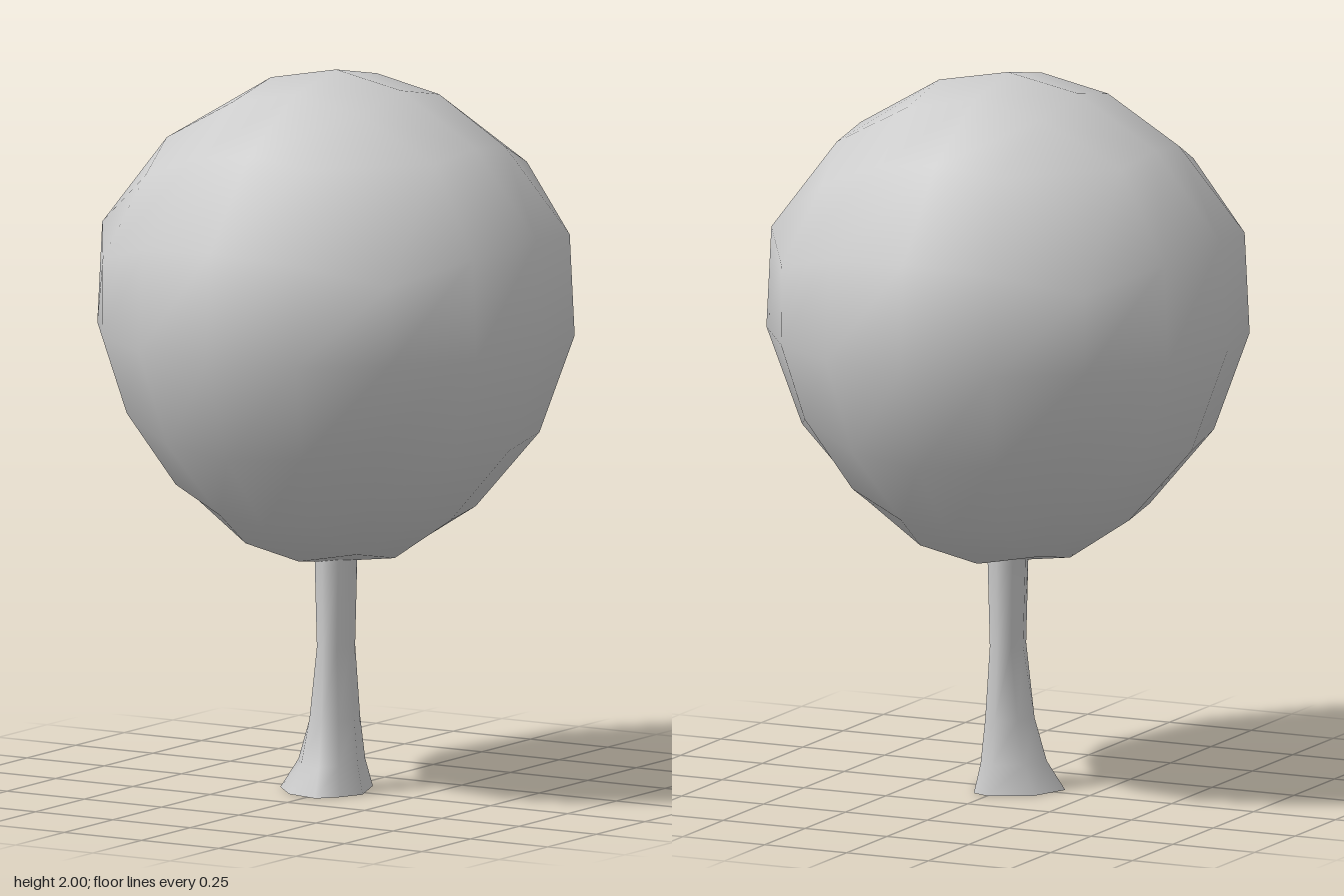
import * as THREE from 'three';
import { mergeVertices } from 'three/addons/utils/BufferGeometryUtils.js';

// Linear lookup in rows sorted by their first value
function lookup(rows, t, col) {
  for (let i = 1; i < rows.length; i++) {
    if (t <= rows[i][0] || i === rows.length - 1) {
      const a = rows[i - 1], b = rows[i];
      return a[col] + (b[col] - a[col]) * (t - a[0]) / (b[0] - a[0]);
    }
  }
}

// Crown: cube sphere, narrowed towards the bottom. Rows: unit height, y, radius scale
const CROWN = [
  [-1, 0.635, 0.49], [-0.924, 0.66, 0.496], [-0.707, 0.78, 0.523],
  [-0.383, 0.99, 0.606], [0, 1.28, 0.67], [0.383, 1.58, 0.703],
  [0.707, 1.82, 0.636], [0.924, 1.96, 0.55], [1, 2, 0.54],
];

function crownGeometry() {
  let geo = new THREE.BoxGeometry(2, 2, 2, 4, 4, 4);
  geo.deleteAttribute('uv');
  geo.deleteAttribute('normal');
  geo = mergeVertices(geo);
  const pos = geo.attributes.position;
  const v = new THREE.Vector3();
  for (let i = 0; i < pos.count; i++) {
    v.fromBufferAttribute(pos, i);
    // even angular spacing on every cube face
    v.set(...v.toArray().map((c) => Math.tan(c * Math.PI / 4))).normalize();
    const s = lookup(CROWN, v.y, 2) * (1 - 0.08 * v.x * v.x * v.z * v.z);
    pos.setXYZ(i, v.x * s, lookup(CROWN, v.y, 1), v.z * s);
  }
  geo.computeVertexNormals();
  return geo;
}

// Trunk: oval rings blending into an uneven rooted foot
const FOOT = [ // x, z, running from +x round through +z
  [0.105, 0.03], [0.075, 0.1], [0.03, 0.155], [-0.07, 0.13],
  [-0.155, 0.04], [-0.115, -0.07], [0, -0.13], [0.05, -0.11],
];
const RINGS = [ // y, half width x, half width z, share of foot shape
  [0, 0.05, 0.065, 1], [0.08, 0.05, 0.065, 0.55], [0.2, 0.05, 0.065, 0.25],
  [0.4, 0.046, 0.066, 0], [0.63, 0.053, 0.07, 0], [0.75, 0.056, 0.072, 0],
];

function trunkGeometry() {
  const n = FOOT.length, points = [], index = [];
  RINGS.forEach(([y, rx, rz, w], r) => {
    FOOT.forEach(([fx, fz], i) => {
      const a = i / n * Math.PI * 2;
      points.push(
        THREE.MathUtils.lerp(Math.cos(a) * rx, fx, w), y,
        THREE.MathUtils.lerp(Math.sin(a) * rz, fz, w));
      if (r === 0) return;
      const j = (i + 1) % n, lo = (r - 1) * n, hi = r * n;
      index.push(lo + i, hi + i, lo + j, lo + j, hi + i, hi + j);
    });
  });
  const geo = new THREE.BufferGeometry();
  geo.setAttribute('position', new THREE.Float32BufferAttribute(points, 3));
  geo.setIndex(index);
  geo.computeVertexNormals();
  return geo;
}

export function createModel() {
  const group = new THREE.Group();
  group.name = 'tree';
  const gray = new THREE.MeshStandardMaterial({ color: 0xcccccc });
  gray.name = 'light gray';

  const add = (name, geometry) => {
    const mesh = new THREE.Mesh(geometry, gray);
    mesh.name = name;
    group.add(mesh);
    return mesh;
  };

  add('crown', crownGeometry());
  add('trunk', trunkGeometry());

  // flat underside of the foot
  const sole = new THREE.ShapeGeometry(
    new THREE.Shape(FOOT.map(([x, z]) => new THREE.Vector2(x, z))));
  add('trunkBase', sole).rotation.x = Math.PI / 2;

  return group;
}
